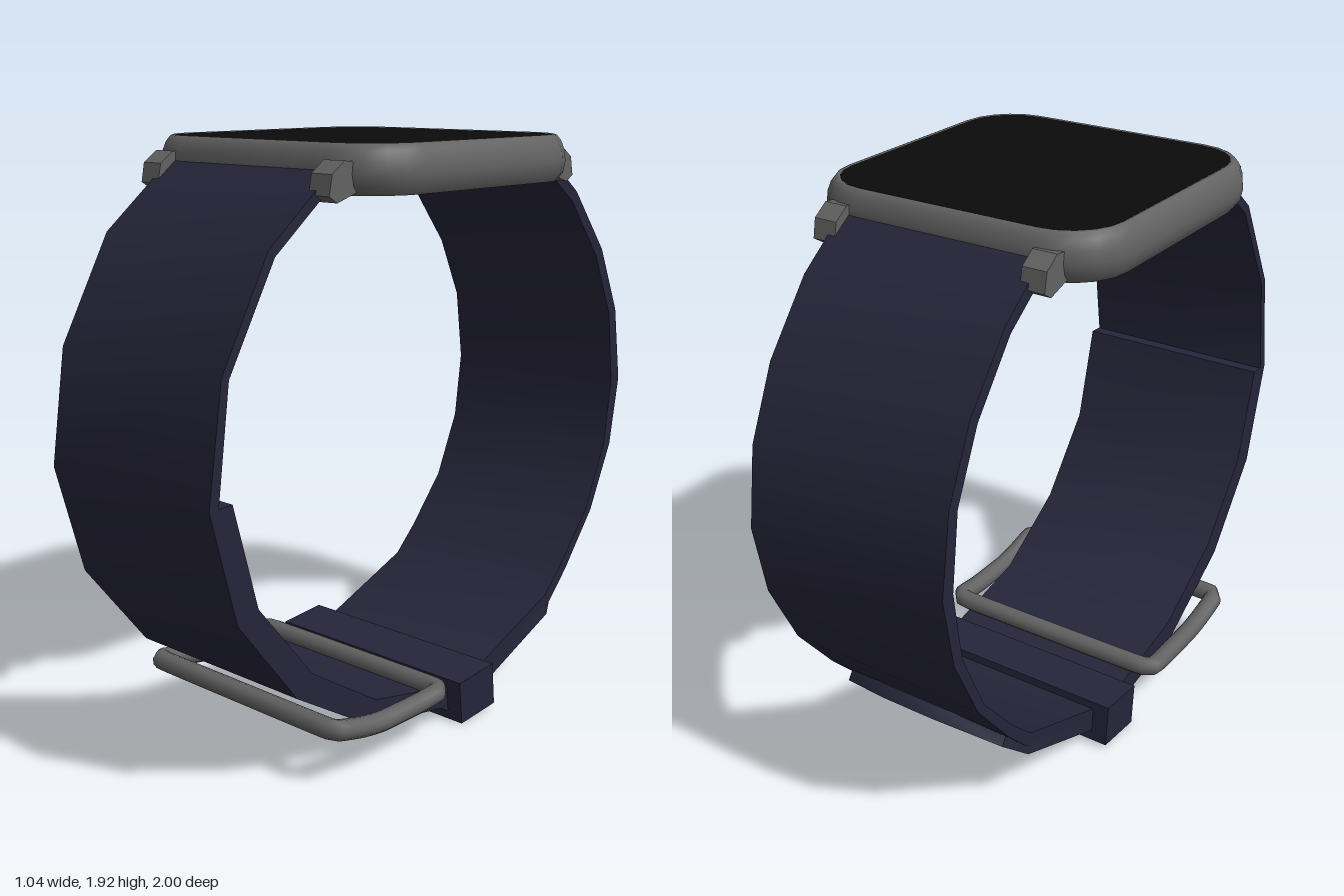
import * as THREE from 'three';
import { toCreasedNormals } from 'three/addons/utils/BufferGeometryUtils.js';

const metal = new THREE.MeshStandardMaterial({ color: 0x626262, side: THREE.DoubleSide });
const fabric = new THREE.MeshStandardMaterial({ color: 0x26253a, side: THREE.DoubleSide });
const glass = new THREE.MeshStandardMaterial({ color: 0x0b0b0b });

// Skin a row of equal rings; each ring runs counter-clockwise about the direction of travel.
function loft(rings, capped, crease) {
  const n = rings[0].length, index = [];
  for (let i = 0; i < rings.length - 1; i++) {
    for (let j = 0; j < n; j++) {
      const a = i * n + j, b = i * n + (j + 1) % n;
      index.push(a, b, b + n, a, b + n, a + n);
    }
  }
  if (capped) {
    const e = (rings.length - 1) * n;
    for (let j = 1; j < n - 1; j++) index.push(0, j + 1, j, e, e + j, e + j + 1);
  }
  const geo = new THREE.BufferGeometry();
  geo.setAttribute('position', new THREE.Float32BufferAttribute(rings.flat(2), 3));
  geo.setIndex(index);
  return toCreasedNormals(geo, crease);
}

// Horizontal rounded rectangle at height y, shrunk by inset.
function roundedRing(inset, y) {
  const ring = [], hx = 0.52 - inset, hz = 0.515 - inset, r = 0.21 - inset, steps = 5;
  const corners = [[1, 1], [1, -1], [-1, -1], [-1, 1]];
  corners.forEach(([sx, sz], k) => {
    for (let i = 0; i <= steps; i++) {
      const a = (k + i / steps) * Math.PI / 2;
      ring.push([sx * (hx - r) + r * Math.sin(a), y, sz * (hz - r) + r * Math.cos(a)]);
    }
  });
  return ring;
}

// Band from stations [outer z, outer y, inner z, inner y, half width].
function band(stations) {
  const rings = stations.map(([zo, yo, zi, yi, w = 0.35]) =>
    [[w, yi, zi], [w, yo, zo], [-w, yo, zo], [-w, yi, zi]]);
  return loft(rings, true, 0.7);
}

export function createModel() {
  const model = new THREE.Group();
  const add = (name, geo, mat) => {
    const mesh = new THREE.Mesh(geo, mat);
    mesh.name = name;
    model.add(mesh);
    return mesh;
  };

  // Case: hollow rounded frame with soft outer edges
  const profile = [[0.045, 1.9], [0.045, 1.775], [0.025, 1.775], [0.007, 1.8], [0, 1.835],
    [0.004, 1.87], [0.016, 1.9], [0.03, 1.917], [0.038, 1.92], [0.045, 1.917], [0.045, 1.9]];
  add('case', loft(profile.map(p => roundedRing(...p)), false, 0.8), metal);
  add('screen', loft([roundedRing(0.044, 1.89), roundedRing(0.044, 1.918)], true, 0.5), glass);

  // Lugs: four small wedges holding the strap ends
  const lugShape = new THREE.Shape([[0.47, 1.87], [0.52, 1.875], [0.57, 1.84], [0.582, 1.78],
    [0.55, 1.76], [0.47, 1.785]].map(p => new THREE.Vector2(...p)));
  for (const side of [0, Math.PI]) {
    for (const x of [-0.363, 0.363]) {
      const geo = new THREE.ExtrudeGeometry(lugShape, { depth: 0.08, bevelEnabled: false });
      geo.translate(0, 0, -0.04).rotateY(-Math.PI / 2).translate(x, 0, 0).rotateY(side);
      add('lug', geo, metal);
    }
    const bar = new THREE.CylinderGeometry(0.012, 0.012, 0.72, 8).rotateZ(Math.PI / 2);
    bar.translate(0, 1.79, 0.535).rotateY(side);
    add('springBar', bar, metal);
  }

  // Front strap: runs down, through the keeper, to a pointed tip outside the back strap
  add('frontStrap', band([
    [0.5, 1.855, 0.5, 1.815], [0.565, 1.805, 0.55, 1.775], [0.765, 1.645, 0.74, 1.625],
    [0.945, 1.32, 0.918, 1.312], [1.0, 0.96, 0.965, 0.965], [0.905, 0.605, 0.868, 0.618],
    [0.675, 0.31, 0.645, 0.335], [0.35, 0.11, 0.338, 0.145], [0, 0.05, 0, 0.085],
    [-0.21, 0.055, -0.2, 0.09], [-0.59, 0.215, -0.575, 0.25, 0.35],
    [-0.675, 0.285, -0.65, 0.32, 0.31], [-0.755, 0.355, -0.725, 0.385, 0.1],
  ]), fabric);

  // Back strap: from its square end inside the front strap round to the rear lugs
  add('backStrap', band([
    [0.965, 0.962, 0.915, 0.965], [0.868, 0.618, 0.825, 0.635], [0.645, 0.335, 0.61, 0.37],
    [0.338, 0.145, 0.325, 0.19], [0, 0.085, 0, 0.125], [-0.2, 0.09, -0.19, 0.135],
    [-0.6, 0.255, -0.575, 0.29], [-0.7, 0.36, -0.672, 0.385], [-0.85, 0.55, -0.82, 0.56],
    [-0.958, 0.78, -0.92, 0.785], [-1.0, 1.02, -0.952, 1.02], [-0.96, 1.28, -0.92, 1.27],
    [-0.858, 1.505, -0.822, 1.485], [-0.69, 1.715, -0.665, 1.685],
    [-0.565, 1.81, -0.55, 1.77], [-0.5, 1.855, -0.5, 1.815],
  ]), fabric);

  // Keeper: loop that holds both straps together
  const rect = (C, w, h) => new C([[-w, -h], [w, -h], [w, h], [-w, h]].map(p => new THREE.Vector2(...p)));
  const loop = rect(THREE.Shape, 0.41, 0.074);
  loop.holes.push(rect(THREE.Path, 0.352, 0.045));
  const keeper = add('keeper', new THREE.ExtrudeGeometry(loop, { depth: 0.176, bevelEnabled: false })
    .translate(0, 0, -0.088), fabric);
  keeper.position.set(0, 0.083, -0.115);
  keeper.rotation.x = 0.09;

  // Buckle: bent wire frame, front bar under the strap and rear bar above it
  const half = [[0.36, 0.193, 0.58], [0.41, 0.19, 0.565], [0.412, 0.165, 0.46],
    [0.412, 0.152, 0.37], [0.412, 0.152, 0.2], [0.412, 0.16, 0.1], [0.36, 0.162, 0.077]];
  const path = [...half, ...half.map(([x, y, z]) => [-x, y, z]).reverse()];
  const curve = new THREE.CatmullRomCurve3(path.map(p => new THREE.Vector3(...p)), true, 'catmullrom', 0.2);
  add('buckle', new THREE.TubeGeometry(curve, 90, 0.033, 10, true), metal);

  return model;
}
